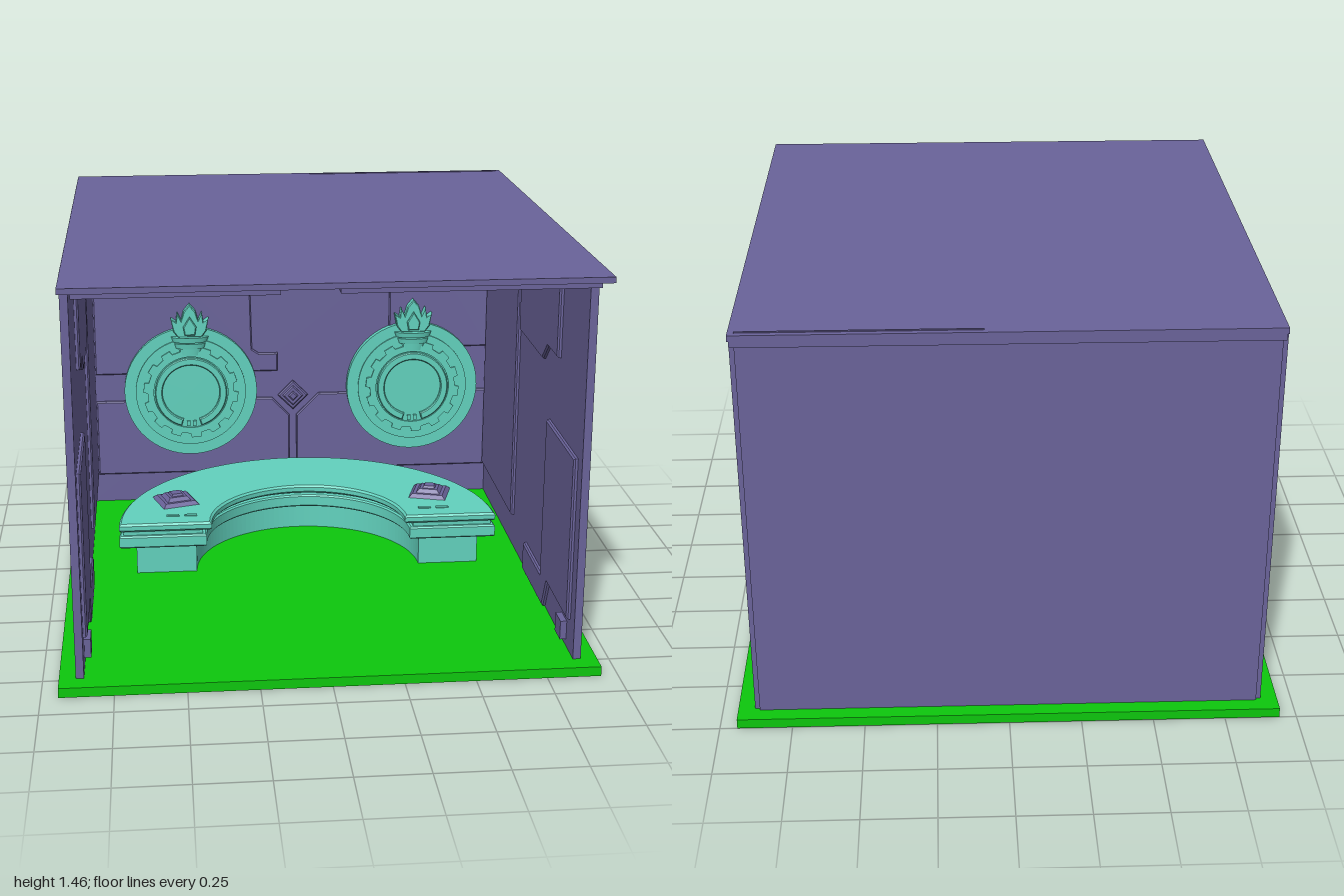
import * as THREE from 'three';

const purple = new THREE.MeshStandardMaterial({ color: 0x6a639a });
const teal = new THREE.MeshStandardMaterial({ color: 0x62d2be });
const green = new THREE.MeshStandardMaterial({ color: 0x0dc80d });

function add(parent, name, geometry, material, x = 0, y = 0, z = 0) {
  const mesh = new THREE.Mesh(geometry, material);
  mesh.name = name;
  mesh.position.set(x, y, z);
  parent.add(mesh);
  return mesh;
}

// Box given by its min and max on each axis
function block(parent, name, material, [x0, x1], [y0, y1], [z0, z1]) {
  return add(parent, name, new THREE.BoxGeometry(x1 - x0, y1 - y0, z1 - z0), material,
    (x0 + x1) / 2, (y0 + y1) / 2, (z0 + z1) / 2);
}

const polygon = (points) => new THREE.Shape(points.map(([x, y]) => new THREE.Vector2(x, y)));

// Extruded plate with a chamfered front edge
function plate(shape, depth, bevel = 0) {
  return new THREE.ExtrudeGeometry(shape, {
    depth: depth - bevel, curveSegments: 32,
    bevelEnabled: bevel > 0, bevelSize: bevel, bevelOffset: -bevel, bevelThickness: bevel, bevelSegments: 1,
  });
}

// Part of a flat ring between two angles
function ringShape(outer, inner, from, to) {
  const s = new THREE.Shape();
  s.absarc(0, 0, outer, from, to, false);
  s.absarc(0, 0, inner, to, from, true);
  s.closePath();
  return s;
}

function createShell(room) {
  block(room, 'ground', green, [-0.94, 0.94], [0, 0.035], [-1, 0.88]);
  block(room, 'backWall', purple, [-0.865, 0.865], [0.035, 1.45], [-0.945, -0.92]);
  block(room, 'roof', purple, [-0.88, 0.885], [1.437, 1.457], [-0.955, 1]);
  block(room, 'roofBackLip', purple, [-0.875, 0.88], [1.415, 1.437], [-0.955, -0.92]);
  block(room, 'roofRidge', purple, [0.08, 0.865], [1.45, 1.46], [-0.935, -0.927]);
  block(room, 'ceilingPanel', purple, [-0.84, -0.18], [1.415, 1.437], [-0.9, 0.97]);
  block(room, 'ceilingPanel', purple, [0.01, 0.85], [1.415, 1.437], [-0.9, 0.97]);
  block(room, 'ceilingBox', purple, [0.71, 0.83], [1.36, 1.42], [-0.9, -0.8]);

  // Side walls with raised inner panels, drawn as (z, y)
  const panels = [
    [[0.75, 0.16], [0.75, 0.76], [0.31, 0.76], [0.31, 0.15], [0, 0.15], [0, 0.04], [0.36, 0.04], [0.42, 0.16]],
    [[0.44, 1.03], [0.44, 1.42], [-0.21, 1.42], [-0.21, 0.96], [0.2, 0.96], [0.28, 1.03]],
    [[-0.25, 0.17], [-0.25, 1.42], [-0.9, 1.42], [-0.9, 0.17]],
  ];
  for (const side of [-1, 1]) {
    const x = side * 0.868;
    block(room, side < 0 ? 'rightWall' : 'leftWall', purple,
      [x - 0.014, x + 0.014], [0.035, 1.45], [-0.935, 0.81]);
    for (const points of panels) {
      const shape = polygon(points.map(([z, y]) => [side < 0 ? -z : z, y]));
      const mesh = add(room, 'sideWallPanel', plate(shape, 0.016, 0.006), purple, side * 0.855, 0, 0);
      mesh.rotation.y = -side * Math.PI / 2;
    }
    block(room, 'wallVent', purple, [side * 0.845 - 0.014, side * 0.845 + 0.014], [0.06, 0.13], [0.62, 0.7]);
  }
}

function createBackPanels(room) {
  const outlines = [
    [[-0.84, 1.42], [-0.84, 0.61], [-0.06, 0.61], [-0.06, 0.69], [-0.14, 0.69], [-0.17, 0.71], [-0.185, 1.42]],
    [[0.42, 1.42], [0.42, 0.7], [0.85, 0.7], [0.85, 1.42]],
    [[0.08, 1.42], [0.08, 1.345], [0.415, 1.345], [0.415, 1.42]],
    [[-0.84, 0.49], [-0.84, 0.16], [-0.01, 0.16], [-0.01, 0.41], [-0.085, 0.49]],
    [[0.02, 0.16], [0.85, 0.16], [0.85, 0.505], [0.115, 0.505], [0.02, 0.41]],
  ];
  for (const points of outlines) {
    add(room, 'backWallPanel', plate(polygon(points), 0.014, 0.005), purple, 0, 0, -0.921);
  }
  // Nested diamond ornament
  for (const [i, r] of [0.065, 0.045, 0.022].entries()) {
    add(room, 'wallDiamond', plate(polygon([[r, 0], [0, r], [-r, 0], [0, -r]]), 0.016 + i * 0.008, 0.005),
      purple, 0.005, 0.5, -0.92);
  }
}

function createDesk() {
  const desk = new THREE.Group();
  desk.name = 'desk';
  // Stacked half rings: outer radius, inner radius, bottom, top, front end z
  const tiers = [
    ['deskBase', 0.675, 0.44, 0.035, 0.15, -0.1, 0],
    ['deskLowerTier', 0.74, 0.4, 0.15, 0.2, -0.07, 0.006],
    ['deskGroove', 0.725, 0.415, 0.2, 0.217, -0.085, 0],
    ['deskTop', 0.74, 0.38, 0.217, 0.25, -0.07, 0.008],
  ];
  for (const [name, outer, inner, y0, y1, z, bevel] of tiers) {
    const geometry = plate(ringShape(outer, inner, 0, Math.PI), y1 - y0 - bevel, bevel).rotateX(-Math.PI / 2);
    add(desk, name, geometry, teal, 0, y0 + bevel, z);
  }
  // Stepped pyramid consoles and small slots on each arm
  for (const side of [-1, 1]) {
    const console = new THREE.Group();
    console.name = 'console';
    console.position.set(side * 0.515, 0.25, -0.32);
    console.rotation.y = -side * 0.3;
    const steps = [[0.105, 0.085, 0.014, 0], [0.07, 0.05, 0.016, 0.012], [0.035, 0.028, 0.01, 0.027]];
    for (const [bottom, top, height, y] of steps) {
      const geometry = new THREE.CylinderGeometry(top, bottom, height, 4).rotateY(Math.PI / 4).toNonIndexed();
      geometry.computeVertexNormals();
      add(console, 'consoleStep', geometry, purple, 0, y + height / 2, 0);
    }
    desk.add(console);
    for (const dx of [-0.03, 0.04]) {
      block(desk, 'deskSlot', teal, [side * 0.5 + dx - 0.025, side * 0.5 + dx + 0.025], [0.249, 0.254], [-0.16, -0.145]);
    }
  }
  return desk;
}

function createMedallion(x) {
  const medallion = new THREE.Group();
  medallion.name = 'medallion';
  medallion.position.set(x, 0.535, -0.915);

  const disc = (name, r, z0, z1) => add(medallion, name,
    new THREE.CylinderGeometry(r, r, z1 - z0, 64).rotateX(Math.PI / 2), teal, 0, 0, (z0 + z1) / 2);
  disc('medallionDisc', 0.283, 0, 0.03);
  disc('medallionStep', 0.235, 0.03, 0.038);

  // Toothed ring
  const teeth = 14, points = [];
  for (let i = 0; i < teeth; i++) {
    for (const [t, r] of [[0, 0.185], [0.45, 0.185], [0.5, 0.203], [0.95, 0.203]]) {
      const a = (i + t) / teeth * Math.PI * 2;
      points.push([Math.cos(a) * r, Math.sin(a) * r]);
    }
  }
  const gear = polygon(points);
  gear.holes.push(new THREE.Path().absarc(0, 0, 0.158, 0, Math.PI * 2, true));
  add(medallion, 'toothedRing', plate(gear, 0.01), teal, 0, 0, 0.036);

  // Open ring with its gap at the bottom
  const gap = 0.28;
  add(medallion, 'openRing', plate(ringShape(0.153, 0.122, -Math.PI / 2 + gap, Math.PI * 1.5 - gap), 0.018, 0.004),
    teal, 0, 0, 0.036);
  for (const s of [-1, 1]) {
    block(medallion, 'ringStud', teal, [s * 0.013 - 0.007, s * 0.013 + 0.007], [-0.15, -0.128], [0.036, 0.048]);
  }

  // Torch bowl made of stacked bands
  for (const [w, y, h] of [[0.05, 0.18, 0.03], [0.068, 0.206, 0.022], [0.08, 0.234, 0.022]]) {
    add(medallion, 'torchBand', new THREE.CylinderGeometry(w, w * 0.9, h, 24, 1, false, -Math.PI / 2, Math.PI)
      .scale(1, 1, 0.5), teal, 0, y, 0.03);
  }
  // Flame with a smaller raised core
  const half = [[0, 0.385], [0.025, 0.355], [0.036, 0.315], [0.052, 0.35], [0.058, 0.31], [0.08, 0.325],
    [0.07, 0.27], [0.05, 0.243]];
  const outline = [...half, ...half.slice(1).reverse().map(([px, py]) => [-px, py])].reverse();
  add(medallion, 'flame', plate(polygon(outline), 0.045, 0.004), teal);
  const core = [[0, 0.335], [-0.028, 0.29], [-0.022, 0.255], [0.022, 0.255], [0.028, 0.29]];
  add(medallion, 'flameCore', plate(polygon(core), 0.012, 0.004), teal, 0, 0, 0.046);
  return medallion;
}

export function createModel() {
  const room = new THREE.Group();
  room.name = 'receptionRoom';
  createShell(room);
  createBackPanels(room);
  room.add(createDesk(), createMedallion(-0.435), createMedallion(0.52));
  return room;
}
